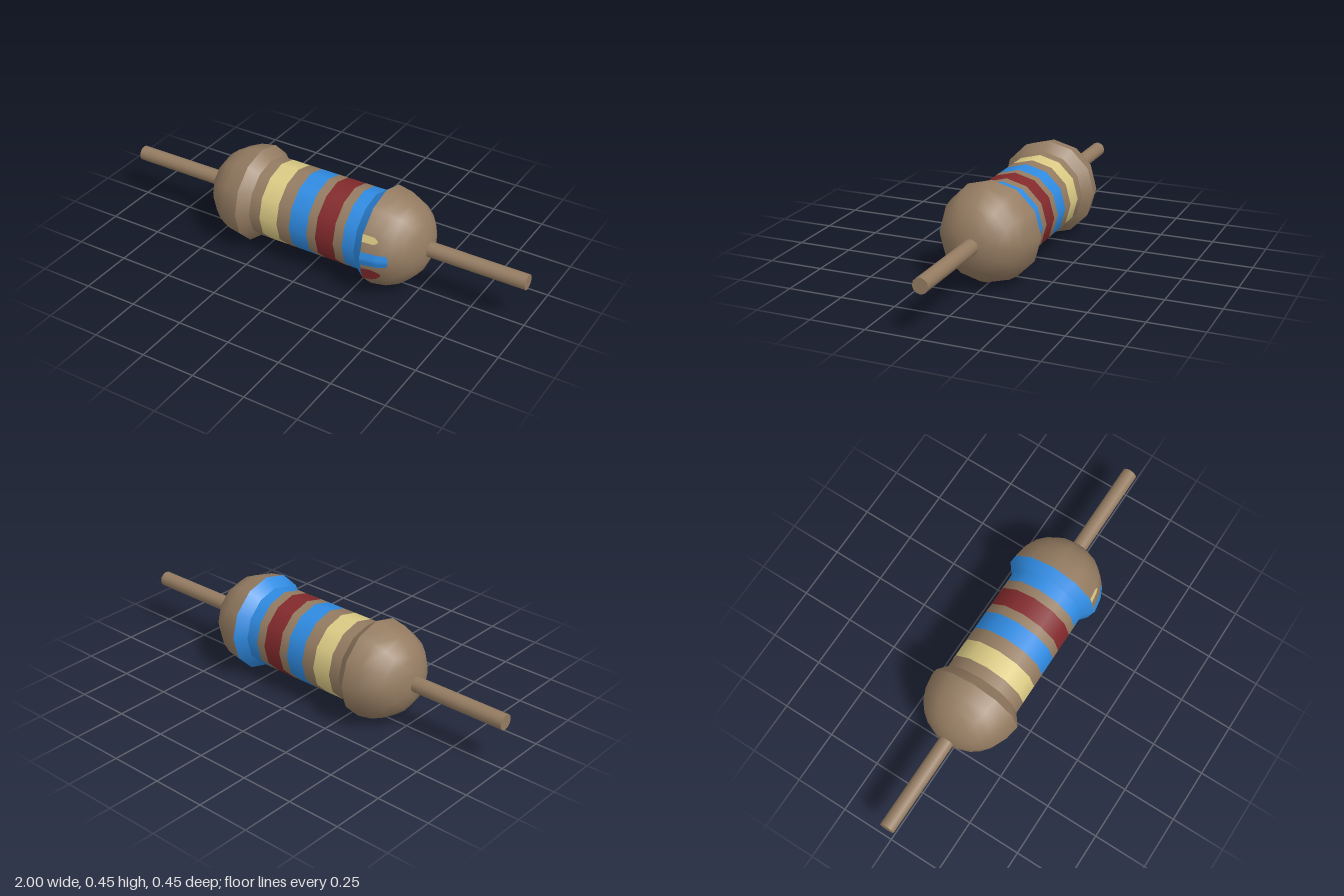
import * as THREE from 'three';

const mat = (name, color) => {
  const m = new THREE.MeshStandardMaterial({ color });
  m.name = name;
  return m;
};

const SIDES = 12;
const CENTRE_Y = 0.225;
const BODY_R = 0.186;

// Cap profile as [x, radius], from the shoulder crest to the tip
const CAP = [[0.32, 0.225], [0.39, 0.213], [0.445, 0.188], [0.485, 0.155], [0.515, 0.117], [0.54, 0.06], [0.545, 0]];

export function createModel() {
  const tan = mat('tan', 0x957c62);
  const yellow = mat('pale yellow', 0xdccb85);
  const blue = mat('blue', 0x2f8be2);
  const red = mat('dark red', 0x832a2c);

  const model = new THREE.Group();
  model.name = 'resistor';
  const axis = new THREE.Group();
  axis.name = 'body';
  axis.position.y = CENTRE_Y;
  model.add(axis);

  const add = (name, geometry, material) => {
    const mesh = new THREE.Mesh(geometry, material);
    mesh.name = name;
    axis.add(mesh);
    return mesh;
  };

  // Turned piece around the x axis; points run from -x to +x
  const turned = (name, points, material) => {
    const g = new THREE.LatheGeometry(points.map(([x, r]) => new THREE.Vector2(r, x)), SIDES);
    g.rotateZ(-Math.PI / 2);
    return add(name, g, material);
  };

  // Rounded ends
  turned('leftCap', CAP, tan);
  turned('rightCap', CAP.map(([x, r]) => [-x, r]).reverse(), tan);

  // Shoulders between the caps and the barrel
  turned('rightShoulder', [[-0.32, 0.225], [-0.27, BODY_R]], tan);
  turned('leftShoulder', [[0.27, BODY_R], [0.32, 0.225]], blue);

  // Barrel made of alternating plain and coloured rings
  const rings = [
    ['barrel', -0.27, tan], ['yellowBand', -0.215, yellow], ['barrel', -0.125, tan],
    ['blueBand', -0.06, blue], ['barrel', 0.03, tan], ['redBand', 0.075, red],
    ['barrel', 0.165, tan], ['endBand', 0.21, blue],
  ];
  rings.forEach(([name, x, material], i) => {
    const end = i + 1 < rings.length ? rings[i + 1][1] : 0.27;
    turned(name, [[x, BODY_R], [end, BODY_R]], material);
  });

  // Wire leads
  for (const side of [-1, 1]) {
    const g = new THREE.CylinderGeometry(0.035, 0.035, 0.47, SIDES);
    g.rotateZ(-Math.PI / 2);
    add(side > 0 ? 'leftLead' : 'rightLead', g, tan).position.x = side * 0.765;
  }

  // Point on the faceted cap, lifted slightly off its surface
  const capPoint = (x, angle) => {
    const i = Math.max(1, CAP.findIndex((p) => p[0] >= x));
    const [x0, r0] = CAP[i - 1];
    const [x1, r1] = CAP[i];
    const step = (2 * Math.PI) / SIDES;
    const local = angle - Math.floor(angle / step) * step - step / 2;
    const r = (r0 + ((r1 - r0) * (x - x0)) / (x1 - x0)) * Math.cos(step / 2) / Math.cos(local) + 0.002;
    return [x, r * Math.sin(angle), r * Math.cos(angle)];
  };

  // Painted mark on the front of the cap, with a rounded outer end
  const mark = (name, xEnd, from, to, taper, material) => {
    const nu = 10, nv = 8, positions = [], index = [];
    for (let v = 0; v <= nv; v++) {
      const angle = THREE.MathUtils.degToRad(from + ((to - from) * v) / nv);
      const end = xEnd - taper * ((2 * v) / nv - 1) ** 2;
      for (let u = 0; u <= nu; u++) positions.push(...capPoint(0.32 + ((end - 0.32) * u) / nu, angle));
    }
    for (let v = 0; v < nv; v++) {
      for (let u = 0; u < nu; u++) {
        const a = v * (nu + 1) + u, b = a + nu + 1;
        index.push(a, a + 1, b + 1, a, b + 1, b);
      }
    }
    const g = new THREE.BufferGeometry();
    g.setAttribute('position', new THREE.Float32BufferAttribute(positions, 3));
    g.setIndex(index);
    g.computeVertexNormals();
    add(name, g, material);
  };
  mark('yellowMark', 0.39, 21, 30, 0.02, yellow);
  mark('blueMark', 0.44, -8, 9, 0.01, blue);
  mark('redMark', 0.405, -30, -14, 0.04, red);

  return model;
}
